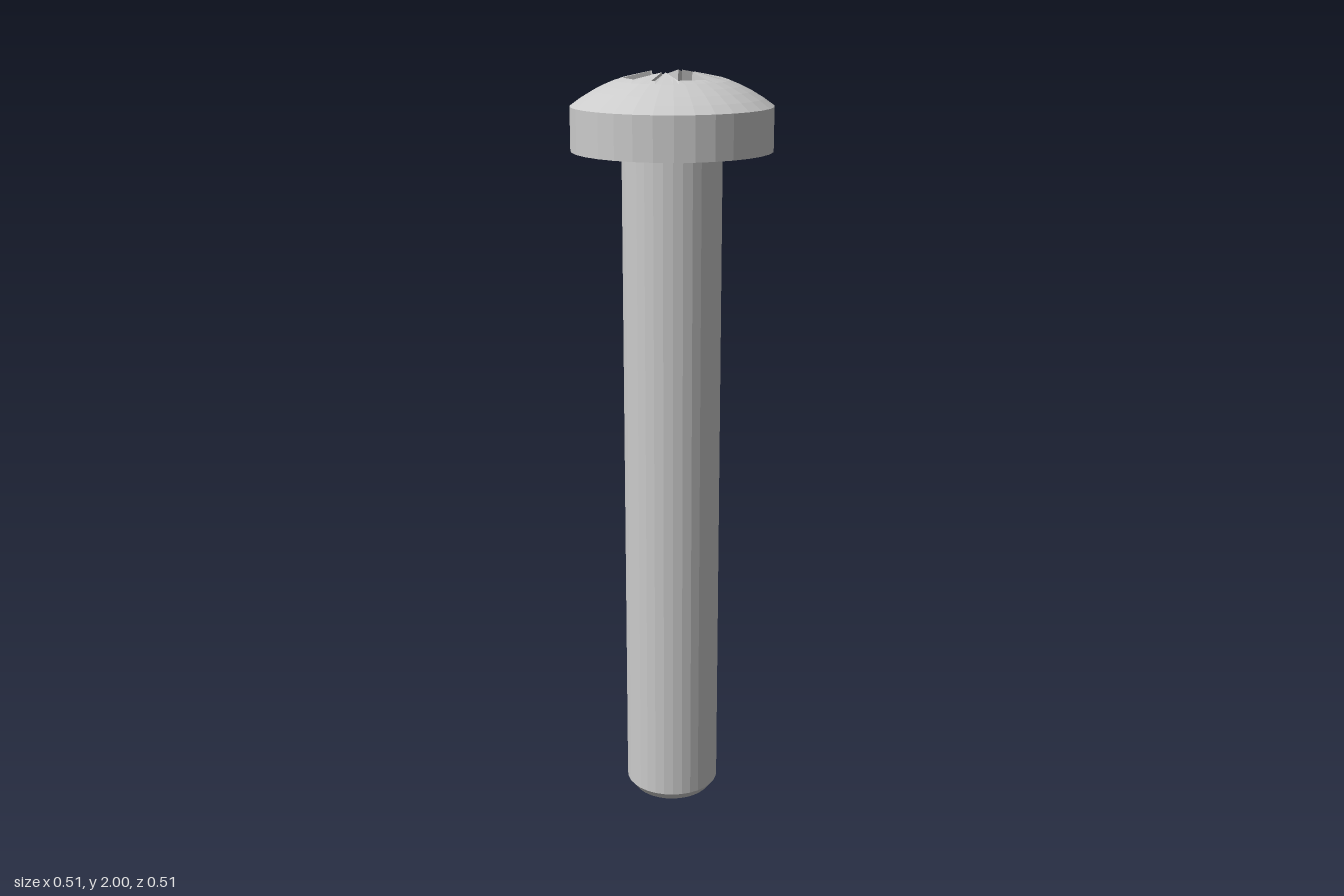
import * as THREE from 'three';

const SIDES = 32, STEP = (2 * Math.PI) / SIDES;
const HEAD_R = 0.257, RIM_Y = 1.915, APEX_Y = 2.003;
const CONE_R = 0.0472, FLOOR_Y = 1.86;

const material = new THREE.MeshStandardMaterial({ color: 0xcccccc, flatShading: true });
const v = (x, y, z) => new THREE.Vector3(x, y, z);

// Height of the spherical dome at a given radius
function domeY(r) {
  const h = APEX_Y - RIM_Y;
  const R = (HEAD_R * HEAD_R + h * h) / (2 * h);
  return APEX_Y - R + Math.sqrt(R * R - r * r);
}

// Repeat one quadrant's points four times around y
function fourfold(points) {
  const out = [];
  for (let q = 0; q < 4; q++) {
    const c = [1, 0, -1, 0][q], s = [0, 1, 0, -1][q];
    for (const p of points) out.push(v(p.x * c - p.z * s, p.y, p.x * s + p.z * c));
  }
  return out;
}

// Strip of triangles between two rows of points
function loft(tris, a, b, closed = true) {
  const n = a.length;
  for (let i = 0; i < (closed ? n : n - 1); i++) {
    const j = (i + 1) % n;
    tris.push(a[i], a[j], b[i], a[j], b[j], b[i]);
  }
}

function meshFrom(tris, name) {
  const g = new THREE.BufferGeometry().setFromPoints(tris);
  g.computeVertexNormals();
  const mesh = new THREE.Mesh(g, material);
  mesh.name = name;
  return mesh;
}

function lathe(profile, name) {
  const g = new THREE.LatheGeometry(profile.map(([r, y]) => new THREE.Vector2(r, y)), SIDES);
  const mesh = new THREE.Mesh(g, material);
  mesh.name = name;
  return mesh;
}

// Mouth of the recess, one quadrant: arm corner, diagonal groove, arm corner
const topQuad = [
  [0.119, 0.036], [0.043, 0.036], [0.094, 0.087],
  [0.087, 0.094], [0.036, 0.043], [0.036, 0.119],
].map(([x, z]) => v(x, domeY(Math.hypot(x, z)), z));

// Foot of the recess, without the grooves
const footQuad = [[0.07, 0.025], [0.038, 0.028], [0.028, 0.038], [0.025, 0.07]]
  .map(([x, z]) => v(x, FLOOR_Y, z));

function createDome() {
  const outline = fourfold(topQuad);
  const inner = [], angles = [];
  // Split the outline wherever a side of the head begins
  outline.forEach((p, i) => {
    const q = outline[(i + 1) % outline.length];
    const a = Math.atan2(p.z, p.x);
    let span = Math.atan2(q.z, q.x) - a;
    if (span < 0) span += 2 * Math.PI;
    inner.push(p);
    angles.push(a);
    for (let k = Math.ceil(a / STEP); k * STEP < a + span - 1e-6; k++) {
      const c = Math.cos(k * STEP), s = Math.sin(k * STEP);
      const t = -(c * p.z - s * p.x) / (c * (q.z - p.z) - s * (q.x - p.x));
      inner.push(p.clone().lerp(q, t));
      angles.push(k * STEP);
    }
  });
  const tris = [];
  let previous = inner;
  for (const r of [0.145, 0.175, 0.2, 0.23, HEAD_R]) {
    const ring = angles.map((a) => {
      const local = a - Math.floor(a / STEP + 1e-9) * STEP - STEP / 2;
      const rr = (r * Math.cos(STEP / 2)) / Math.cos(local);
      return v(rr * Math.cos(a), domeY(r), rr * Math.sin(a));
    });
    loft(tris, previous, ring);
    previous = ring;
  }
  return meshFrom(tris, 'headDome');
}

function createRecess() {
  const tris = [];
  // Points where the groove floors meet the tapering walls
  const cross = [0, 1, 4, 5].map((k) => topQuad[k]);
  const midQuad = cross.map((p, i) => p.clone().lerp(footQuad[i], 0.35));
  const grooveEnd = [topQuad[2], topQuad[3]].map((p) => v(p.x - 0.009, 1.962, p.z - 0.009));
  const lowerQuad = [midQuad[0], midQuad[1], ...grooveEnd, midQuad[2], midQuad[3]];

  // Walls of arms and grooves
  loft(tris, fourfold(lowerQuad), fourfold(topQuad));
  loft(tris, fourfold(footQuad), fourfold(midQuad));

  // Groove floors
  const start = fourfold([midQuad[1], midQuad[2]]);
  const end = fourfold(grooveEnd);
  for (let i = 0; i < 8; i += 2) loft(tris, start.slice(i, i + 2), end.slice(i, i + 2), false);

  // Flat arm floors, curved where they meet the centre cone
  const half = Math.atan2(0.028, 0.038), n = 6;
  const arc = [], edge = [];
  for (let i = 0; i <= n; i++) {
    const u = (2 * i) / n - 1;
    arc.push(v(CONE_R * Math.cos(u * half), FLOOR_Y, CONE_R * Math.sin(u * half)));
    edge.push(v(0.07, FLOOR_Y, 0.025 * u));
  }
  const arcs = fourfold(arc), edges = fourfold(edge);
  for (let i = 0; i < arcs.length; i += n + 1) {
    loft(tris, arcs.slice(i, i + n + 1), edges.slice(i, i + n + 1), false);
  }
  return meshFrom(tris, 'driveRecess');
}

export function createModel() {
  const model = new THREE.Group();
  model.name = 'screw';

  // Shaft with chamfered tip and a small fillet under the head
  model.add(lathe([
    [0, 0], [0.108, 0], [0.128, 0.025], [0.128, 1.79], [0.131, 1.8], [0.14, 1.805],
  ], 'shaft'));

  // Flat underside and straight rim of the head
  model.add(lathe([[0.14, 1.805], [HEAD_R, 1.805], [HEAD_R, RIM_Y]], 'headRim'));

  model.add(createDome(), createRecess());

  // Conical bottom of the recess
  model.add(lathe([[CONE_R, FLOOR_Y], [0, FLOOR_Y - 0.02]], 'recessCone'));
  return model;
}
